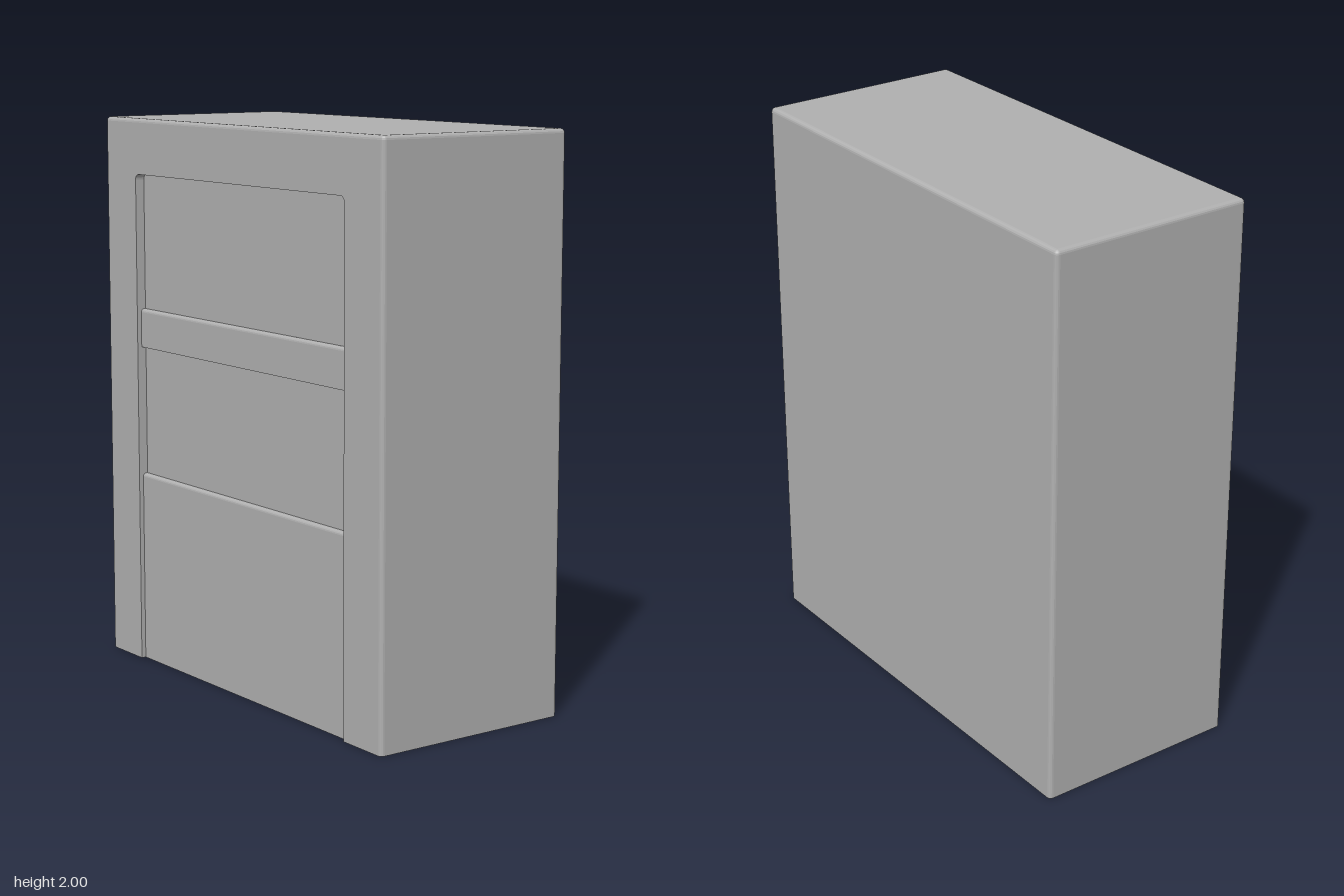
import * as THREE from 'three';

const W = 0.83, H = 2, D = 0.38, R = 0.015;   // half width, height, half depth, edge radius
const OX = 0.628, OY = 1.8, OR = 0.02;        // opening half width, height, corner radius
const STEPS = 4;

// Surface through a list of rings with equal point counts
function sheet(rings) {
  const n = rings[0].length, index = [];
  for (let i = 0; i < rings.length - 1; i++) {
    for (let j = 0; j < n - 1; j++) {
      const a = i * n + j, b = a + 1, d = a + n, c = d + 1;
      index.push(a, b, c, a, c, d);
    }
  }
  const g = new THREE.BufferGeometry();
  g.setAttribute('position', new THREE.Float32BufferAttribute(rings.flat(2), 3));
  g.setIndex(index);
  const flat = g.toNonIndexed();
  flat.computeVertexNormals();
  return flat;
}

// Rounded rectangle in plan, from the front left corner round the back
function planRing(y, r, closed) {
  const pts = [];
  [[1, 1], [1, -1], [-1, -1], [-1, 1]].forEach(([sx, sz], k) => {
    for (let i = 0; i <= STEPS; i++) {
      const a = (k + i / STEPS) * Math.PI / 2;
      pts.push([sx * (W - R) + r * Math.sin(a), y, sz * (D - R) + r * Math.cos(a)]);
    }
  });
  if (closed) pts.push([...pts[0]]);
  return pts;
}

// Outline of the opening: up one side, over the rounded top, down the other
function openingPath() {
  const pts = [[OX, 0]];
  for (const s of [1, -1]) {
    for (let i = 0; i <= STEPS; i++) {
      const a = (i / STEPS + (s < 0 ? 1 : 0)) * Math.PI / 2;
      pts.push([s * (OX - OR) + OR * Math.cos(a), OY - OR + OR * Math.sin(a)]);
    }
  }
  pts.push([-OX, 0]);
  return pts;
}

export function createModel() {
  const group = new THREE.Group();
  const grey = new THREE.MeshStandardMaterial({ color: 0xb0b0b0, side: THREE.DoubleSide });
  grey.name = 'plain grey';
  const add = (name, geometry) => {
    const mesh = new THREE.Mesh(geometry, grey);
    mesh.name = name;
    group.add(mesh);
    return mesh;
  };

  // Sides and back, open underneath
  add('sidesAndBack', sheet([planRing(0, R), planRing(H - R, R)]));

  // Rounded top edge and top
  const edge = [];
  for (let i = 0; i <= STEPS; i++) {
    const t = i / STEPS * Math.PI / 2;
    edge.push(planRing(H - R + R * Math.sin(t), R * Math.cos(t), true));
  }
  add('topEdge', sheet(edge));
  const top = add('top', new THREE.PlaneGeometry(2 * (W - R), 2 * (D - R)));
  top.rotation.x = -Math.PI / 2;
  top.position.y = H;

  // Front frame around the opening
  const outline = [
    [W - R, 0], [W - R, H - R], [-W + R, H - R], [-W + R, 0],
    ...openingPath().reverse(),
  ].map(([x, y]) => new THREE.Vector2(x, y));
  add('frontFrame', new THREE.ShapeGeometry(new THREE.Shape(outline))).position.z = D;

  // Lip turned inwards around the opening
  add('openingLip', sheet([D, 0.155].map(z => openingPath().map(([x, y]) => [x, y, z]))));

  // Stepped front: lower panel, middle recess, cross rail, upper recess
  const back = 0.345, face = 0.363, b = 0.012;
  const roundTop = y => [0, 1, 2, 3, 4].map(i => {
    const a = i / 4 * Math.PI / 2;
    return [y - b + b * Math.sin(a), face - b + b * Math.cos(a)];
  });
  const panels = {
    lowerPanel: [[0, face], ...roundTop(0.7), [0.7, back]],
    middleRecess: [[0.7, back], [1.17, back]],
    crossRail: [[1.17, back], [1.17, face], ...roundTop(1.31), [1.31, back]],
    upperRecess: [[1.31, back], [OY, back]],
  };
  for (const [name, profile] of Object.entries(panels)) {
    add(name, sheet([OX, -OX].map(x => profile.map(([y, z]) => [x, y, z]))));
  }
  return group;
}
